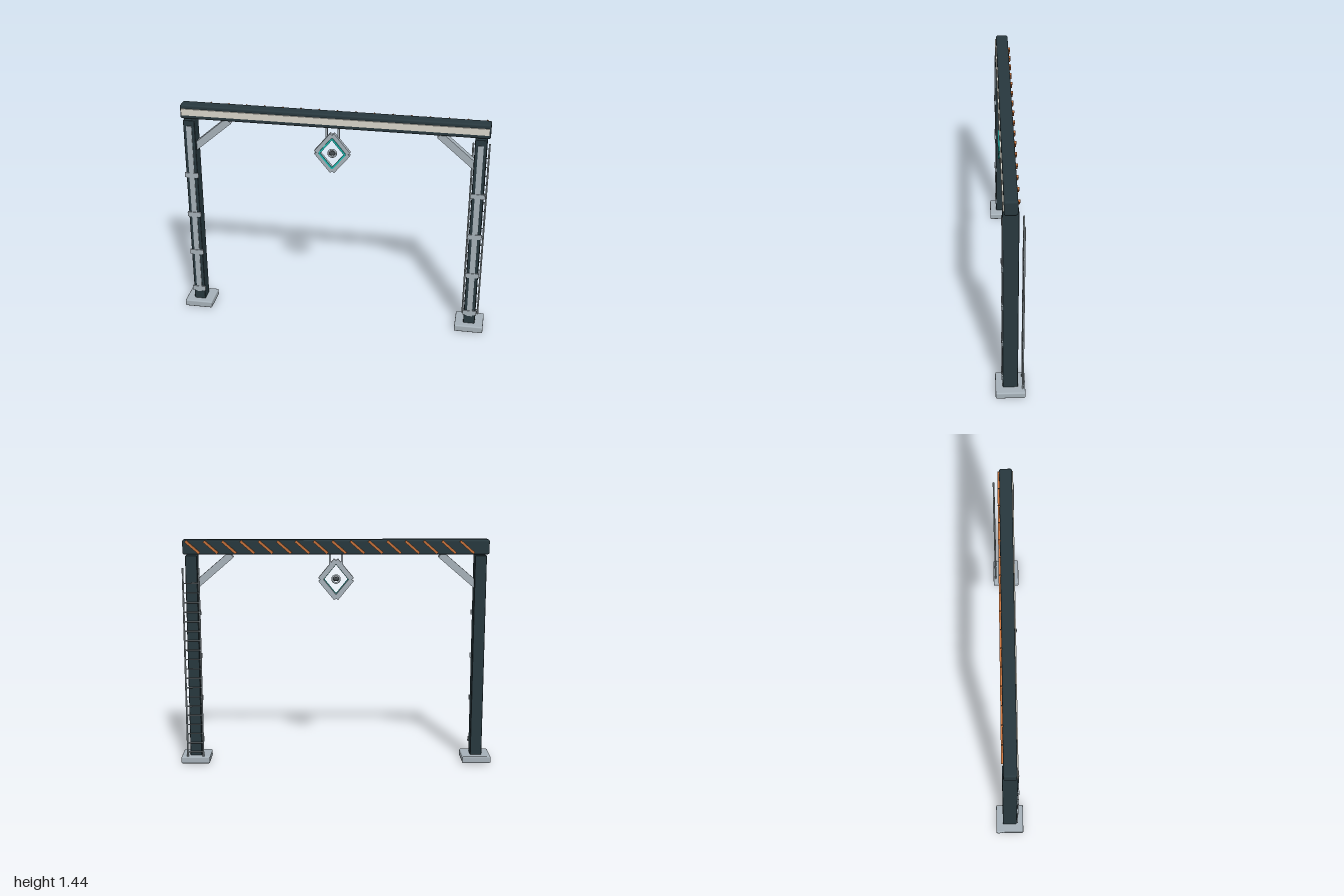
import * as THREE from 'three';
import { RoundedBoxGeometry } from 'three/addons/geometries/RoundedBoxGeometry.js';

const mat = (name, color) => {
  const m = new THREE.MeshStandardMaterial({ color });
  m.name = name;
  return m;
};

export function createModel() {
  const root = new THREE.Group();
  root.name = 'gantry';

  const darkSteel = mat('darkSteel', 0x28383e);
  const paleSteel = mat('paleSteel', 0xa7b2ba);
  const ladderSteel = mat('ladderSteel', 0x98a3a8);
  const cream = mat('cream', 0xdad7cc);
  const rust = mat('rust', 0xc4703a);
  const teal = mat('teal', 0x20c0b8);
  const hubDark = mat('hubDark', 0x3a4145);

  const add = (parent, name, geo, material, x, y, z, rz = 0) => {
    const m = new THREE.Mesh(geo, material);
    m.name = name;
    m.position.set(x, y, z);
    m.rotation.z = rz;
    parent.add(m);
    return m;
  };
  const box = (w, h, d) => new THREE.BoxGeometry(w, h, d);
  const rounded = (w, h, d, r) => new RoundedBoxGeometry(w, h, d, 3, r);

  // Bar laid between two points in a plane of constant z
  const bar = (parent, name, material, [x1, y1], [x2, y2], width, depth, z) => {
    const len = Math.hypot(x2 - x1, y2 - y1);
    return add(parent, name, box(len, width, depth), material,
      (x1 + x2) / 2, (y1 + y2) / 2, z, Math.atan2(y2 - y1, x2 - x1));
  };

  // Two posts with foot pad, front conduit, clamps and corner brace
  for (const s of [-1, 1]) {
    const post = new THREE.Group();
    post.name = s < 0 ? 'rightPost' : 'leftPost';
    root.add(post);
    const x = s * 0.908;
    add(post, 'footPad', rounded(0.184, 0.045, 0.18, 0.008), paleSteel, x, 0.0225, 0);
    add(post, 'column', rounded(0.074, 1.308, 0.092, 0.005), darkSteel, x, 0.689, 0);
    add(post, 'conduit', box(0.034, 1.205, 0.01), paleSteel, x, 0.703, 0.046);
    for (const y of [0.126, 0.406, 0.686, 0.968])
      add(post, 'clamp', box(0.088, 0.032, 0.01), paleSteel, x, y, 0.049);
    bar(post, 'brace', paleSteel, [s * 0.893, 1.145], [s * 0.657, 1.347], 0.045, 0.046, 0);
  }

  // Top beam with a pale strip along the front
  add(root, 'beam', rounded(1.924, 0.092, 0.078, 0.011), darkSteel, 0, 1.395, 0);
  add(root, 'beamStrip', box(1.908, 0.042, 0.01), cream, 0, 1.396, 0.041);

  // Slanted hazard bars on the back of the beam
  const stripes = new THREE.Group();
  stripes.name = 'hazardBars';
  root.add(stripes);
  const stripeGeo = box(0.115, 0.016, 0.013);
  for (let i = 0; i < 16; i++)
    add(stripes, 'hazardBar', stripeGeo, rust, -0.82 + i * 0.1145, 1.396, -0.0435, 0.72);

  // Hanging diamond sign
  const sign = new THREE.Group();
  sign.name = 'hangingSign';
  sign.position.y = 1.184;
  root.add(sign);
  const diamond = (name, material, hw, hh, width, depth, z) => {
    const c = [[0, hh], [hw, 0], [0, -hh], [-hw, 0]];
    c.forEach((p, i) => bar(sign, name, material, p, c[(i + 1) % 4], width, depth, z));
  };
  diamond('signFrame', paleSteel, 0.1, 0.122, 0.032, 0.028, 0.026);
  diamond('signLight', teal, 0.081, 0.1, 0.011, 0.008, 0.044);
  for (const s of [-1, 1])
    add(sign, 'hanger', box(0.012, 0.1, 0.014), paleSteel, s * 0.038, 0.12, 0.015);
  add(sign, 'hubRing', new THREE.TorusGeometry(0.024, 0.006, 16, 32), paleSteel, 0, 0, 0.035);
  add(sign, 'hubCore', new THREE.SphereGeometry(0.02, 24, 16), hubDark, 0, 0, 0.035)
    .scale.set(1, 0.65, 1);

  // Ladder behind the left post
  const ladder = new THREE.Group();
  ladder.name = 'ladder';
  root.add(ladder);
  const railGeo = new THREE.CylinderGeometry(0.0055, 0.0055, 1.23, 24);
  for (const x of [0.858, 0.958]) add(ladder, 'rail', railGeo, ladderSteel, x, 0.655, -0.075);
  const rungGeo = new THREE.CylinderGeometry(0.004, 0.004, 0.108, 24);
  for (let i = 0; i < 19; i++)
    add(ladder, 'rung', rungGeo, ladderSteel, 0.908, 0.075 + i * 0.061, -0.075, Math.PI / 2);

  return root;
}
